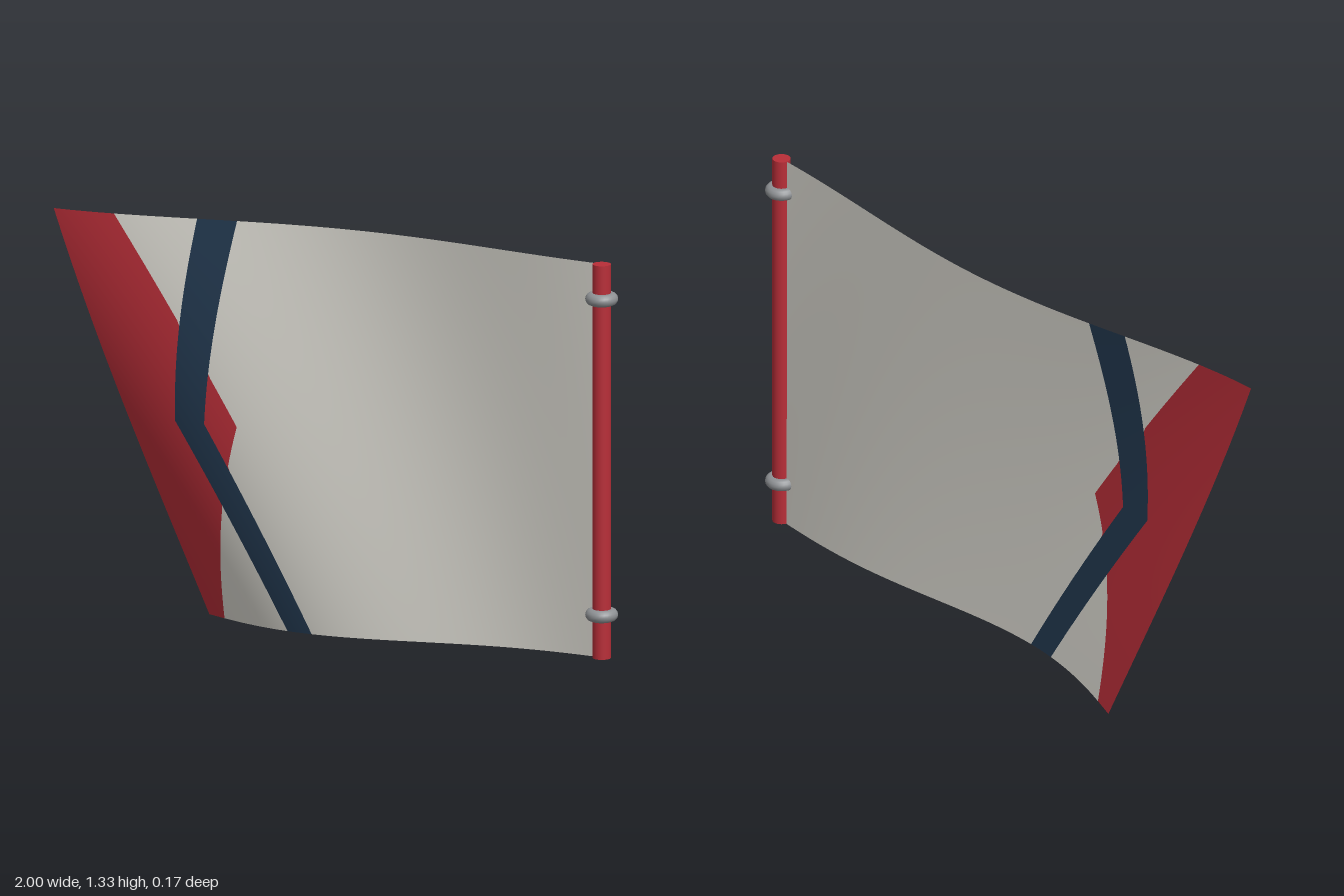
import * as THREE from 'three';

const POLE_X = 0.945, POLE_Z = -0.032, ROWS = 80;

// Cloth surface: u runs from the pole to the free edge, v from bottom to top
function cloth(u, v) {
  const length = 1.475 + 0.47 * v;
  const phase = (2 * Math.PI * (u - 0.27 - 0.37 * v)) / 1.35;
  return new THREE.Vector3(
    POLE_X - u * length,
    0.1 - 0.095 * u + 1.23 * v,
    POLE_Z - 0.002 + 0.12 * u * Math.sin(phase)
  );
}

function clothNormal(u, v) {
  const e = 1e-3;
  const du = cloth(u + e, v).sub(cloth(u - e, v));
  const dv = cloth(u, v + e).sub(cloth(u, v - e));
  return dv.cross(du).normalize();
}

// Piece of cloth between two boundary curves u = from(v) and u = to(v)
function clothPiece(from, to, columns) {
  const positions = [], normals = [], index = [];
  for (let j = 0; j <= ROWS; j++) {
    const v = j / ROWS;
    for (let i = 0; i <= columns; i++) {
      const u = THREE.MathUtils.lerp(from(v), to(v), i / columns);
      positions.push(...cloth(u, v).toArray());
      normals.push(...clothNormal(u, v).toArray());
    }
  }
  for (let j = 0; j < ROWS; j++) {
    for (let i = 0; i < columns; i++) {
      const a = j * (columns + 1) + i, b = a + 1;
      const c = a + columns + 1, d = c + 1;
      index.push(a, c, b, b, c, d);
    }
  }
  const geometry = new THREE.BufferGeometry();
  geometry.setAttribute('position', new THREE.Float32BufferAttribute(positions, 3));
  geometry.setAttribute('normal', new THREE.Float32BufferAttribute(normals, 3));
  geometry.setIndex(index);
  return geometry;
}

// Boundary curve bent at mid height
const bent = (bottom, middle, top) => (v) =>
  v < 0.5
    ? THREE.MathUtils.lerp(bottom, middle, v * 2)
    : THREE.MathUtils.lerp(middle, top, v * 2 - 1);

export function createModel() {
  const group = new THREE.Group();
  const material = (name, color, side = THREE.FrontSide) => {
    const m = new THREE.MeshStandardMaterial({ color, side });
    m.name = name;
    return m;
  };
  const white = material('offWhiteCloth', 0xdad8d0, THREE.DoubleSide);
  const navy = material('navyCloth', 0x22384f, THREE.DoubleSide);
  const red = material('red', 0xb82e38, THREE.DoubleSide);
  const metal = material('greyMetal', 0x8e9194);

  const add = (name, geometry, mat) => {
    const mesh = new THREE.Mesh(geometry, mat);
    mesh.name = name;
    group.add(mesh);
    return mesh;
  };

  // Cloth colours: a navy chevron lies over a red arrow-shaped end
  const arrow = bent(0.948, 0.754, 0.893);
  const stripeIn = bent(0.692, 0.821, 0.688);
  const stripeOut = bent(0.756, 0.884, 0.754);
  const innerEdge = (v) => Math.min(arrow(v), stripeIn(v));
  const outerEdge = (v) => Math.max(arrow(v), stripeOut(v));
  add('clothField', clothPiece(() => 0, innerEdge, 48), white);
  add('arrowTip', clothPiece(innerEdge, stripeIn, 6), red);
  add('chevronStripe', clothPiece(stripeIn, stripeOut, 6), navy);
  add('clothCorners', clothPiece(stripeOut, outerEdge, 10), white);
  add('arrowEnd', clothPiece(outerEdge, () => 1, 14), red);

  // Pole
  add('pole', new THREE.CylinderGeometry(0.028, 0.028, 1.23, 24), red)
    .position.set(POLE_X, 0.715, POLE_Z);

  // Mounting rings
  for (const [name, y] of [['lowerRing', 0.235], ['upperRing', 1.222]]) {
    const ring = add(name, new THREE.TorusGeometry(0.031, 0.019, 14, 32), metal);
    ring.rotation.x = Math.PI / 2;
    ring.position.set(POLE_X, y, POLE_Z);
  }

  return group;
}
